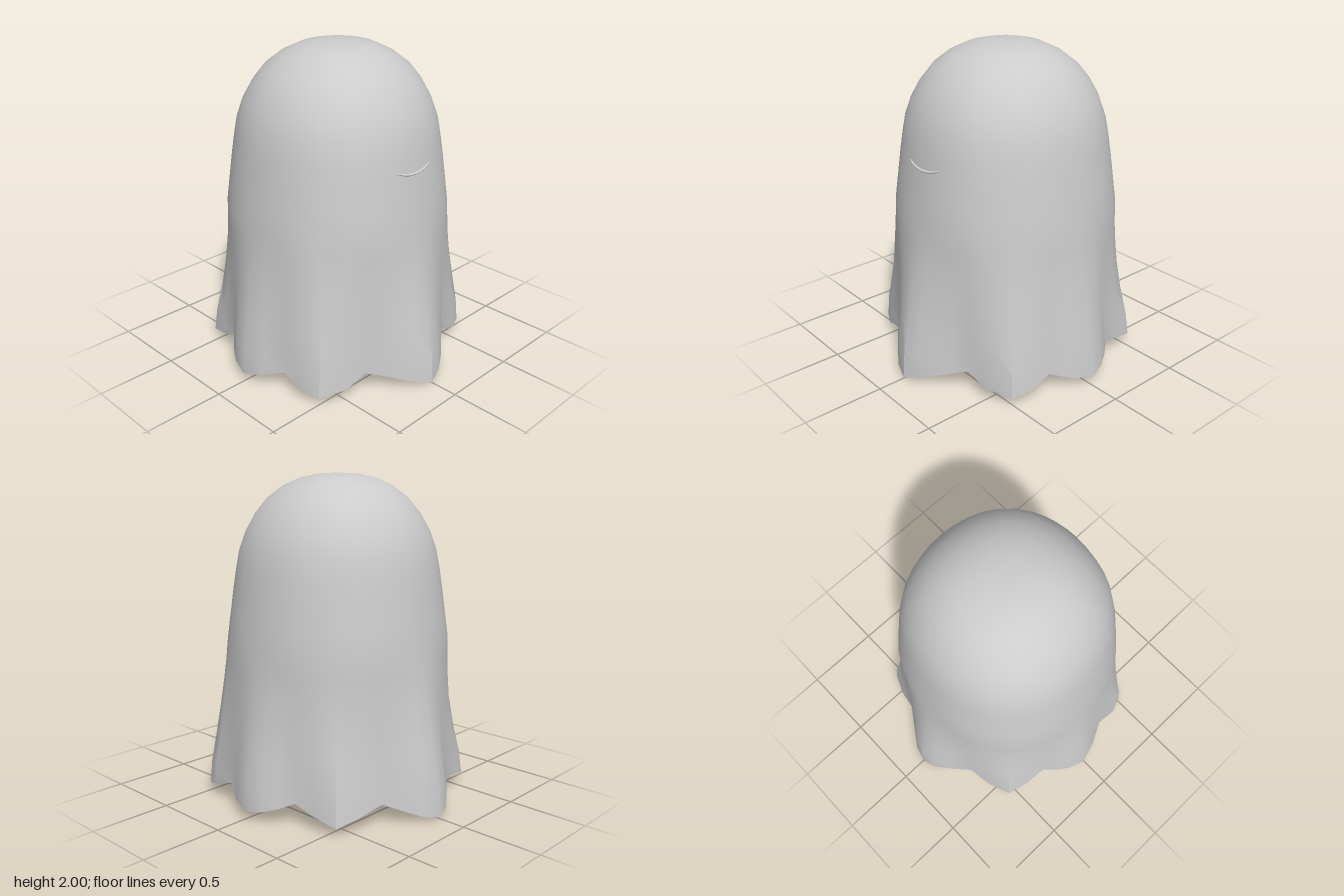
import * as THREE from 'three';
import { toCreasedNormals } from 'three/addons/utils/BufferGeometryUtils.js';

// Hem outline from back to front on the left half: x, z and height of the edge
const HEM = [
  [0, -0.83, 0.01], [0.1, -0.8, 0.035], [0.2, -0.73, 0.08], [0.31, -0.645, 0.135],
  [0.46, -0.615, 0.095], [0.6, -0.555, 0.05], [0.64, -0.42, 0.095], [0.655, -0.28, 0.14],
  [0.72, -0.2, 0.1], [0.77, -0.12, 0.075], [0.8, -0.01, 0.053], [0.76, 0.12, 0.08],
  [0.69, 0.25, 0.13], [0.695, 0.4, 0.085], [0.65, 0.505, 0.05], [0.5, 0.585, 0.08],
  [0.36, 0.6, 0.135], [0.28, 0.665, 0.11], [0.2, 0.73, 0.08], [0.1, 0.795, 0.04], [0, 0.827, 0.01],
];
// Upper body: radius, height
const DOME = [
  [0.005, 2], [0.12, 1.993], [0.225, 1.97], [0.33, 1.92], [0.425, 1.845], [0.495, 1.755],
  [0.55, 1.655], [0.59, 1.54], [0.612, 1.42], [0.63, 1.3], [0.65, 1.15], [0.67, 1],
];
const FOLD_ROWS = [0.87, 0.75, 0.58, 0.4, 0.2];
const WALL = 0.07;

const outline = [...HEM, ...HEM.slice(1, -1).reverse().map(([x, z, y]) => [-x, z, y])];
const columns = outline.length;

// Outer rings of the cloth, from crown to hem
function clothRings() {
  const spokes = outline.map(([x, z, y]) => {
    const reach = Math.hypot(x, z);
    const dx = x / reach, dz = z / reach;
    // the body is slightly square, and the back corners flare later
    const diagonal = (2 * dx * dz) ** 2;
    return { dx, dz, reach, y, bulge: 1 + 0.03 * diagonal, ease: 1.25 + (z < 0 ? 0.75 * diagonal : 0) };
  });
  const rings = DOME.map(([r, y]) => spokes.map(({ dx, dz, bulge }) => [dx * r * bulge, y, dz * r * bulge]));
  // folds grow from the body towards the wavy hem
  for (const y of FOLD_ROWS) {
    rings.push(spokes.map(({ dx, dz, reach, bulge, ease }) => {
      const r = THREE.MathUtils.lerp(0.67 * bulge, reach, ((1 - y) / 0.87) ** ease);
      return [dx * r, y, dz * r];
    }));
  }
  rings.push(outline.map(([x, z, y]) => [x, y, z]));
  return rings;
}

// Skin over consecutive rings, closed at both ends
function skin(rings) {
  const n = columns;
  const index = [];
  const cap = (start, flip) => {
    for (let i = 1; i < n - 1; i++) {
      index.push(start, start + i + (flip ? 0 : 1), start + i + (flip ? 1 : 0));
    }
  };
  for (let j = 0; j < rings.length - 1; j++) {
    for (let i = 0; i < n; i++) {
      const k = (i + 1) % n;
      const a = j * n + i, b = j * n + k;
      index.push(a, b, a + n, b, b + n, a + n);
    }
  }
  cap(0, false);
  cap((rings.length - 1) * n, true);
  const geometry = new THREE.BufferGeometry();
  geometry.setAttribute('position', new THREE.Float32BufferAttribute(rings.flat(2), 3));
  geometry.setIndex(index);
  return geometry;
}

// Sheet with an even wall: the inside follows the outside along its normals
function createSheet() {
  const outer = clothRings();
  const n = columns;
  const open = skin(outer);
  // leave the closing cap of the hem out of the normals
  open.setIndex(Array.from(open.index.array).slice(0, -3 * (n - 2)));
  open.computeVertexNormals();
  const normal = open.attributes.normal;
  const inner = outer.map((ring, j) => ring.map(([x, y, z], i) => {
    const v = j * n + i;
    return [x - WALL * normal.getX(v), y - WALL * normal.getY(v), z - WALL * normal.getZ(v)];
  }));
  return toCreasedNormals(skin([...outer, ...inner.reverse()]), THREE.MathUtils.degToRad(32));
}

// Thin tapered lip bent into a smile and wrapped round the body
function createSmile() {
  const geometry = new THREE.SphereGeometry(1, 32, 10);
  geometry.rotateZ(Math.PI / 2);
  geometry.scale(0.145, 0.008, 0.012);
  const p = geometry.attributes.position;
  for (let i = 0; i < p.count; i++) {
    const x = p.getX(i);
    p.setY(i, 1.32 + p.getY(i) + 0.03 * (x / 0.145) ** 2);
    p.setZ(i, p.getZ(i) + Math.sqrt(0.625 ** 2 - x * x));
  }
  geometry.computeVertexNormals();
  return geometry;
}

export function createModel() {
  const group = new THREE.Group();
  group.name = 'ghost';
  const material = new THREE.MeshStandardMaterial({ color: 0xcccccc });
  const add = (name, geometry) => {
    const mesh = new THREE.Mesh(geometry, material);
    mesh.name = name;
    group.add(mesh);
  };
  add('sheet', createSheet());
  add('smile', createSmile());
  return group;
}
